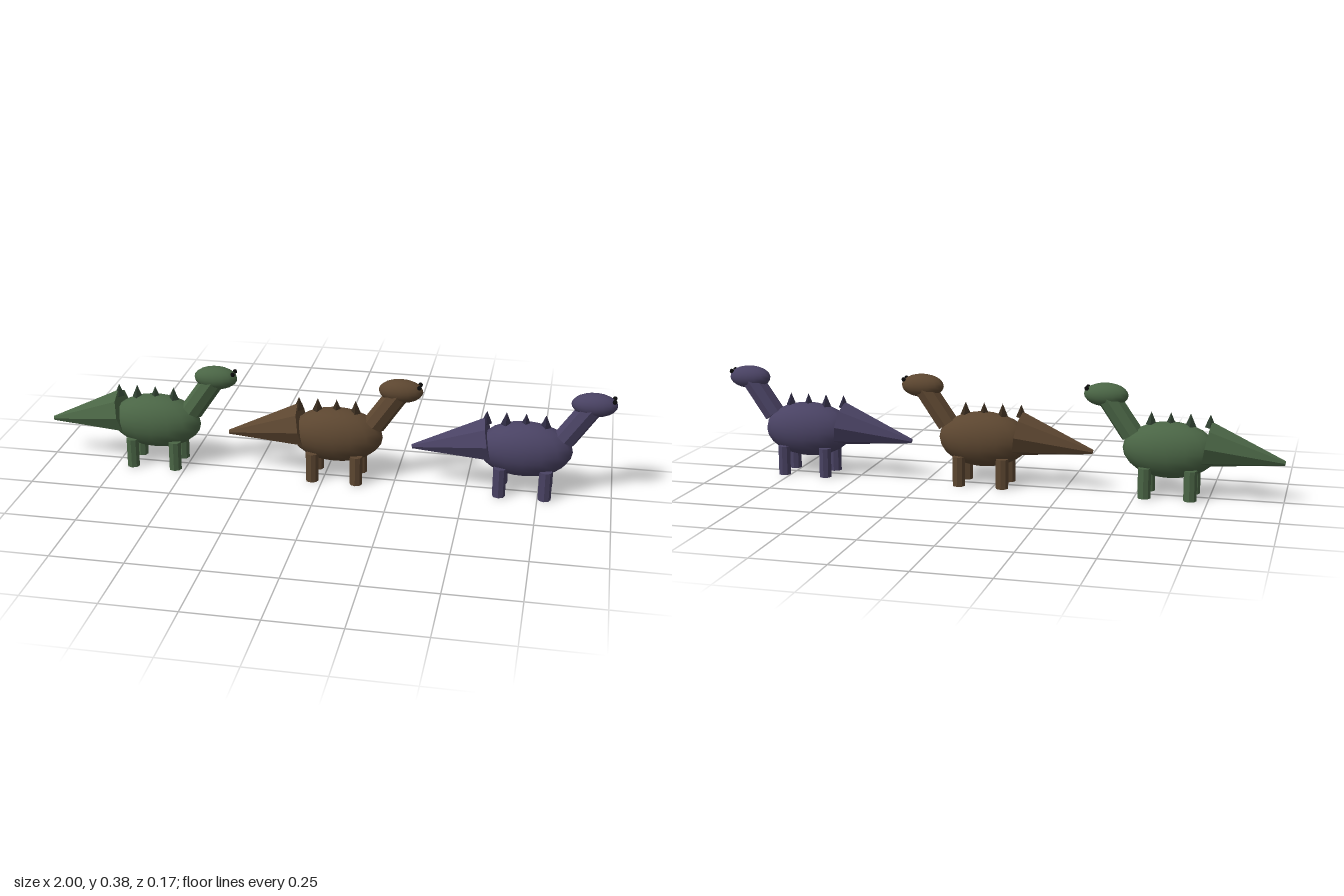
import * as THREE from 'three';

const mat = (name, color, flatShading = false) => {
  const m = new THREE.MeshStandardMaterial({ color, flatShading });
  m.name = name;
  return m;
};

function add(parent, name, geometry, material, x, y, z = 0, tilt = 0) {
  const mesh = new THREE.Mesh(geometry, material);
  mesh.name = name;
  mesh.position.set(x, y, z);
  mesh.rotation.z = tilt;
  parent.add(mesh);
  return mesh;
}

export function createModel() {
  const model = new THREE.Group();
  model.name = 'dinosaurRow';

  // Shared shapes
  const bodyGeo = new THREE.SphereGeometry(1, 16, 12).scale(0.163, 0.097, 0.083);
  const headGeo = new THREE.SphereGeometry(1, 16, 12).scale(0.077, 0.041, 0.041);
  const neckGeo = new THREE.CylinderGeometry(0.039, 0.04, 0.165, 8);
  const tailGeo = new THREE.CylinderGeometry(0.008, 0.08, 0.268, 8);
  const legGeo = new THREE.CylinderGeometry(0.0225, 0.0225, 0.105, 8);
  const spikeGeo = new THREE.ConeGeometry(0.019, 0.045, 4);
  const eyeGeo = new THREE.SphereGeometry(0.008, 8, 6);
  const black = mat('eyeBlack', 0x0a0a0a);

  const kinds = [
    ['green', 0x4a6545, 0x2f4030],
    ['brown', 0x5c4630, 0x3a2c1e],
    ['purple', 0x494263, 0x2e2a42],
  ];

  kinds.forEach(([label, skinColor, spikeColor], i) => {
    const dino = new THREE.Group();
    dino.name = label + 'Dinosaur';
    dino.position.x = -0.612 + 0.654 * i;
    model.add(dino);

    // One skin colour, smooth on round parts and faceted on the limbs
    const skin = mat(label + 'Skin', skinColor);
    const facetedSkin = mat(label + 'Skin', skinColor, true);
    const spikeMat = mat(label + 'Spike', spikeColor, true);

    add(dino, 'body', bodyGeo, skin, 0, 0.161);
    add(dino, 'neck', neckGeo, facetedSkin, 0.178, 0.277, 0, -0.6);
    add(dino, 'head', headGeo, skin, 0.223, 0.341);
    add(dino, 'tail', tailGeo, facetedSkin, -0.256, 0.162, 0, Math.PI / 2 + 0.19);

    // Mirrored legs and eyes
    for (const side of [-1, 1]) {
      add(dino, 'frontLeg', legGeo, facetedSkin, 0.078, 0.0525, side * 0.0525);
      add(dino, 'backLeg', legGeo, facetedSkin, -0.078, 0.0525, side * 0.0525);
      add(dino, 'eye', eyeGeo, black, 0.288, 0.362, side * 0.016);
    }

    // Spikes along the back
    for (let s = 0; s < 4; s++) {
      add(dino, 'spike', spikeGeo, spikeMat, -0.134 + s * 0.0667, 0.268);
    }
  });

  return model;
}
